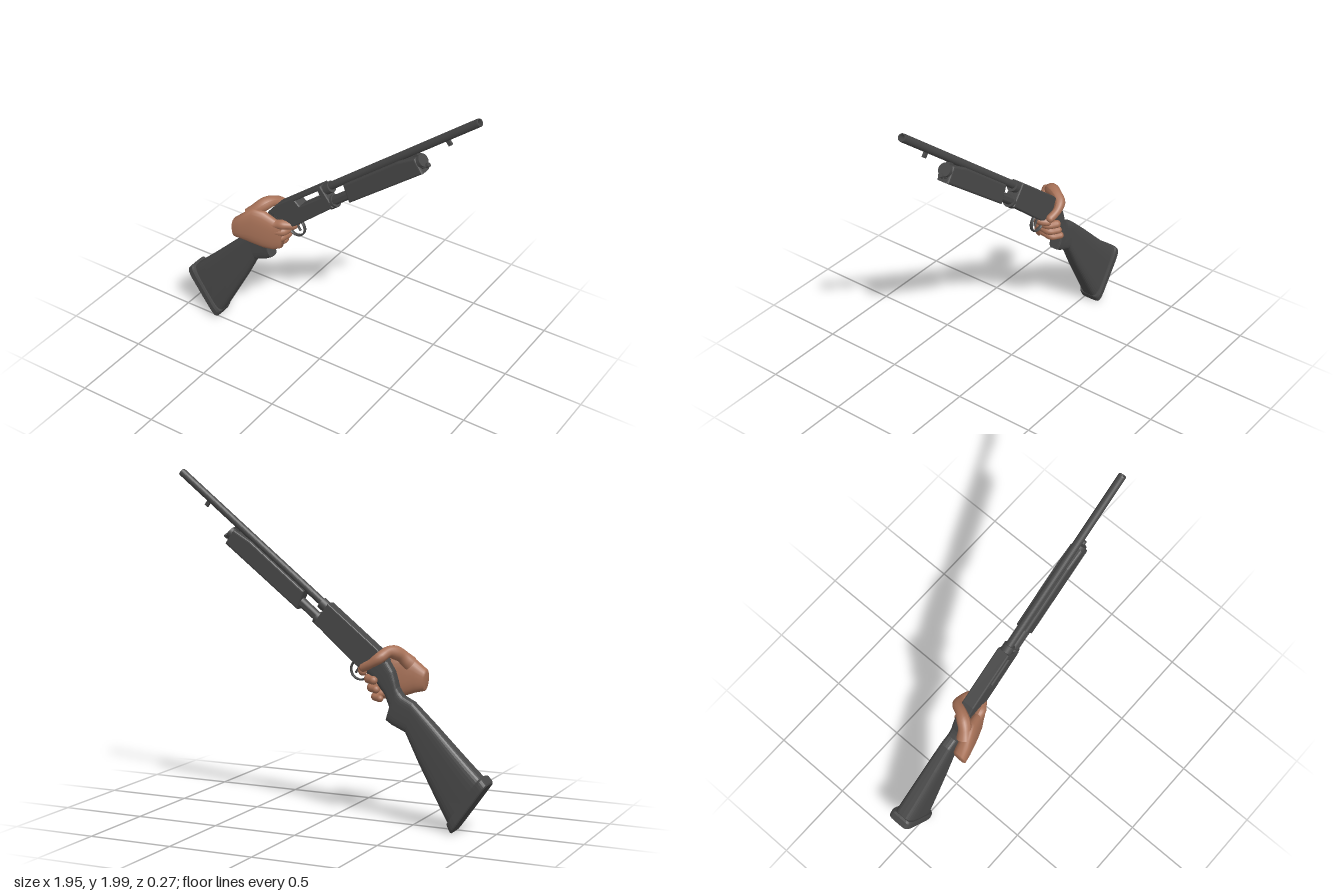
import * as THREE from 'three';

const Z = -0.043;                          // centre plane of the gun
const TILT = Math.atan2(0.621, 0.784);     // barrel elevation
const metal = new THREE.MeshStandardMaterial({ color: 0x484848 });
const flat = new THREE.MeshStandardMaterial({ color: 0x484848, flatShading: true });
const skin = new THREE.MeshStandardMaterial({ color: 0xa87258 });

function add(parent, name, geo, mat) {
  const m = new THREE.Mesh(geo, mat);
  m.name = name;
  parent.add(m);
  return m;
}

// Closed loft through upright sections [topX, topY, botX, botY, z, halfWidth]
function loft(sections, power, n = 24) {
  const pos = [], idx = [];
  const se = (t) => Math.sign(t) * Math.pow(Math.abs(t), power);
  sections.forEach(([tx, ty, bx, by, z, w]) => {
    for (let j = 0; j < n; j++) {
      const t = (j / n) * Math.PI * 2, c = se(Math.cos(t)), s = se(Math.sin(t));
      pos.push((tx + bx) / 2 + (tx - bx) / 2 * c, (ty + by) / 2 + (ty - by) / 2 * c, z + w * s);
    }
  });
  for (let i = 0; i < sections.length - 1; i++) {
    for (let j = 0; j < n; j++) {
      const a = i * n + j, b = i * n + (j + 1) % n;
      idx.push(a, b, a + n, b, b + n, a + n);
    }
  }
  [0, sections.length - 1].forEach((i) => {
    const [tx, ty, bx, by, z] = sections[i], k = pos.length / 3;
    pos.push((tx + bx) / 2, (ty + by) / 2, z);
    for (let j = 0; j < n; j++) {
      const a = i * n + j, b = i * n + (j + 1) % n;
      if (i === 0) idx.push(k, b, a); else idx.push(k, a, b);
    }
  });
  const g = new THREE.BufferGeometry();
  g.setAttribute('position', new THREE.Float32BufferAttribute(pos, 3));
  g.setIndex(idx);
  g.computeVertexNormals();
  return g;
}

const outline = (pts) => new THREE.Shape(pts.map(([x, y]) => new THREE.Vector2(x, y)));

// Side outline given thickness, with bevelled edges, centred on z = 0
function slab(shape, width, bevel) {
  const g = new THREE.ExtrudeGeometry(shape, {
    depth: width - 2 * bevel, bevelThickness: bevel, bevelSize: bevel,
    bevelOffset: -bevel, bevelSegments: 3, curveSegments: 8,
  });
  return g.translate(0, 0, -width / 2 + bevel);
}

// Cylinder along the barrel direction
function rod(parent, name, u0, u1, v, r) {
  const m = add(parent, name, new THREE.CylinderGeometry(r, r, u1 - u0, 28), metal);
  m.rotation.z = -Math.PI / 2;
  m.position.set((u0 + u1) / 2, v, 0);
  return m;
}

function buildAction() {
  const g = new THREE.Group();
  g.name = 'barrelAndReceiver';
  g.rotation.z = TILT;
  g.position.z = Z;

  // Barrel with an open bore
  const bore = [[0.023, 0], [0.023, 1.2], [0.022, 1.206], [0.017, 1.206], [0.017, 1.0], [0, 1.0]];
  const barrel = add(g, 'barrel', new THREE.LatheGeometry(bore.map(([r, y]) => new THREE.Vector2(r, y)), 28), flat);
  barrel.rotation.z = -Math.PI / 2;
  barrel.position.set(0.775, 0.953, 0);
  rod(g, 'barrelCollar', 0.77, 0.818, 0.948, 0.034);
  const lug = add(g, 'barrelLug', new THREE.BoxGeometry(0.022, 0.035, 0.016), metal);
  lug.position.set(1.733, 0.919, 0);

  // Magazine tube and its cap
  rod(g, 'magazineTube', 0.7, 1.5, 0.868, 0.028);
  rod(g, 'magazineCollar', 0.74, 0.79, 0.864, 0.039);
  rod(g, 'magazineCap', 1.49, 1.515, 0.885, 0.038);
  rod(g, 'magazineStud', 1.51, 1.532, 0.85, 0.013);
  const clamp = add(g, 'barrelClamp', new THREE.BoxGeometry(0.035, 0.05, 0.024), metal);
  clamp.position.set(1.49, 0.915, 0);

  // Sliding fore-end
  const fore = outline([[0.902, 0.828], [1.49, 0.822], [1.497, 0.92], [1.37, 0.938], [0.933, 0.938]]);
  add(g, 'foreEnd', slab(fore, 0.08, 0.012), flat);
  for (const s of [-1, 1]) {
    const bar = add(g, 'actionBar', new THREE.BoxGeometry(0.2, 0.022, 0.006), metal);
    bar.position.set(0.84, 0.868, s * 0.03);
  }

  // Receiver with the ejection port on its front side
  const body = outline([[0.3, 0.966], [0.385, 0.984], [0.775, 0.984], [0.775, 0.838], [0.43, 0.824], [0.385, 0.83]]);
  const port = [[0.545, 0.921], [0.73, 0.921], [0.738, 0.961], [0.537, 0.961]];
  body.holes.push(new THREE.Path(port.map(([x, y]) => new THREE.Vector2(x, y))));
  add(g, 'receiver', slab(body, 0.08, 0.008), flat);
  const wall = [[0.52, 0.91], [0.75, 0.91], [0.75, 0.97], [0.52, 0.97]];
  const back = new THREE.ShapeGeometry(outline(wall.map(([x, y]) => [-x, y])));
  const plate = add(g, 'receiverBackWall', back, metal);
  plate.rotation.y = Math.PI;
  plate.position.z = -0.0402;
  return g;
}

function buildStock() {
  const g = new THREE.Group();
  g.name = 'stock';
  // Butt widening from the grip, then neck rising into the receiver
  add(g, 'buttAndGrip', loft([
    [-0.935, 0.325, -0.745, 0.045, Z, 0.064],
    [-0.86, 0.395, -0.71, 0.105, Z, 0.061],
    [-0.78, 0.472, -0.655, 0.205, Z, 0.057],
    [-0.65, 0.6, -0.559, 0.38, Z, 0.049],
    [-0.52, 0.722, -0.475, 0.548, Z, 0.041],
    [-0.46, 0.752, -0.39, 0.585, Z, 0.04],
    [-0.44, 0.775, -0.356, 0.608, Z, 0.04],
    [-0.425, 0.8, -0.378, 0.68, Z, 0.038],
    [-0.415, 0.84, -0.35, 0.75, Z, 0.038],
    [-0.4, 0.89, -0.295, 0.82, Z, 0.038],
    [-0.365, 0.945, -0.21, 0.89, Z, 0.039],
  ], 0.5, 32), flat);
  add(g, 'buttPad', loft([
    [-0.972, 0.296, -0.766, 0.008, Z, 0.072],
    [-0.97, 0.305, -0.76, 0.012, Z, 0.077],
    [-0.945, 0.334, -0.744, 0.042, Z, 0.077],
    [-0.93, 0.336, -0.738, 0.055, Z, 0.07],
  ], 0.3, 32), flat);
  return g;
}

function buildTrigger() {
  const g = new THREE.Group();
  g.name = 'triggerGroup';
  const guard = add(g, 'triggerGuard', new THREE.TorusGeometry(0.058, 0.006, 8, 40), metal);
  guard.scale.z = 2;
  guard.position.set(-0.19, 0.884, Z);
  const path = new THREE.QuadraticBezierCurve3(
    new THREE.Vector3(-0.19, 0.93, Z), new THREE.Vector3(-0.18, 0.885, Z), new THREE.Vector3(-0.16, 0.865, Z));
  add(g, 'trigger', new THREE.TubeGeometry(path, 10, 0.007, 8), metal);
  return g;
}

// Rounded finger along a curve, tapering towards the tip
function finger(parent, name, pts, r0, r1) {
  const curve = new THREE.CatmullRomCurve3(pts.map((p) => new THREE.Vector3(...p)));
  const seg = 24, sides = 14;
  const geo = new THREE.TubeGeometry(curve, seg, 1, sides);
  const p = geo.attributes.position, v = new THREE.Vector3();
  for (let i = 0; i < p.count; i++) {
    const t = Math.floor(i / (sides + 1)) / seg, c = curve.getPointAt(t);
    const r = THREE.MathUtils.lerp(r0, r1, t) * (1 + 0.06 * Math.cos(t * Math.PI * 6));
    v.fromBufferAttribute(p, i).sub(c).multiplyScalar(r).add(c);
    p.setXYZ(i, v.x, v.y, v.z);
  }
  geo.computeVertexNormals();
  add(parent, name, geo, skin);
  const tip = add(parent, name + 'Tip', new THREE.SphereGeometry(r1 * 1.06, 14, 10), skin);
  tip.position.set(...pts[pts.length - 1]);
}

function buildHand() {
  const g = new THREE.Group();
  g.name = 'hand';
  // Palm and back of the hand, from wrist to knuckles
  add(g, 'palm', loft([
    [-0.545, 0.875, -0.535, 0.775, 0.085, 0.035],
    [-0.538, 0.89, -0.528, 0.765, 0.086, 0.044],
    [-0.48, 0.94, -0.48, 0.755, 0.075, 0.046],
    [-0.42, 0.985, -0.42, 0.735, 0.057, 0.046],
    [-0.36, 0.965, -0.36, 0.718, 0.038, 0.042],
    [-0.3, 0.925, -0.305, 0.715, 0.02, 0.036],
    [-0.25, 0.905, -0.265, 0.73, 0.004, 0.027],
  ], 0.8), skin);

  // Four fingers wrapped round the grip; the first rests by the trigger
  finger(g, 'indexFinger', [[-0.32, 0.89, 0.022], [-0.25, 0.9, 0.005], [-0.21, 0.895, -0.025], [-0.205, 0.885, -0.06], [-0.225, 0.88, -0.09]], 0.031, 0.022);
  const grips = [['middleFinger', 0.845, -0.222], ['ringFinger', 0.795, -0.238], ['littleFinger', 0.745, -0.262]];
  grips.forEach(([name, y, x], i) => {
    finger(g, name, [[x - 0.09, y, 0.024], [x - 0.045, y + 0.004, 0.008], [x - 0.028, y, -0.035],
      [x - 0.035, y - 0.006, -0.08], [x - 0.075, y - 0.008, -0.105]], 0.031 - i * 0.002, 0.023 - i * 0.002);
  });

  // Thumb laid over the neck to the far side
  finger(g, 'thumb', [[-0.45, 0.92, 0.055], [-0.405, 0.975, 0.015], [-0.365, 0.995, -0.045],
    [-0.335, 0.968, -0.098], [-0.29, 0.935, -0.112], [-0.235, 0.905, -0.103]], 0.045, 0.023);
  return g;
}

export function createModel() {
  const model = new THREE.Group();
  model.name = 'gunInHand';
  model.add(buildAction(), buildStock(), buildTrigger(), buildHand());
  return model;
}
